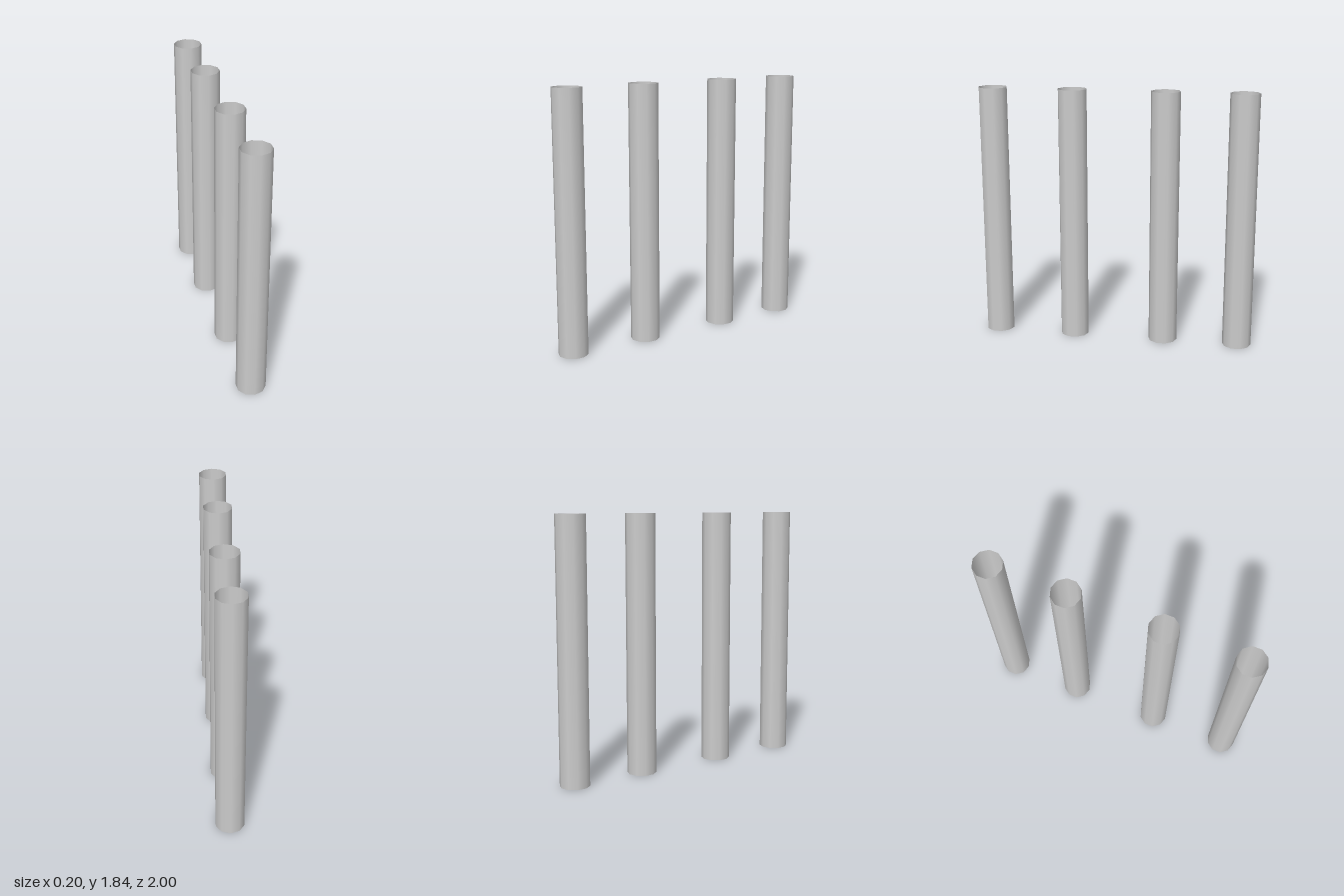
import * as THREE from 'three';

const HEIGHT = 1.835;
const RADIUS = 0.104;
const SIDES = 10;

export function createModel() {
  const model = new THREE.Group();
  model.name = 'pillarRow';

  const material = new THREE.MeshStandardMaterial({ color: 0xcccccc, side: THREE.DoubleSide });

  // Open-ended ten-sided tube, smooth shaded, standing on the ground
  const tube = new THREE.CylinderGeometry(RADIUS, RADIUS, HEIGHT, SIDES, 1, true);
  tube.translate(0, HEIGHT / 2, 0);

  // Four pillars in a line from front to back
  [0.896, 0.314, -0.351, -0.896].forEach((z, i) => {
    const pillar = new THREE.Mesh(tube, material);
    pillar.name = `pillar${i + 1}`;
    pillar.position.z = z;
    model.add(pillar);
  });

  return model;
}
